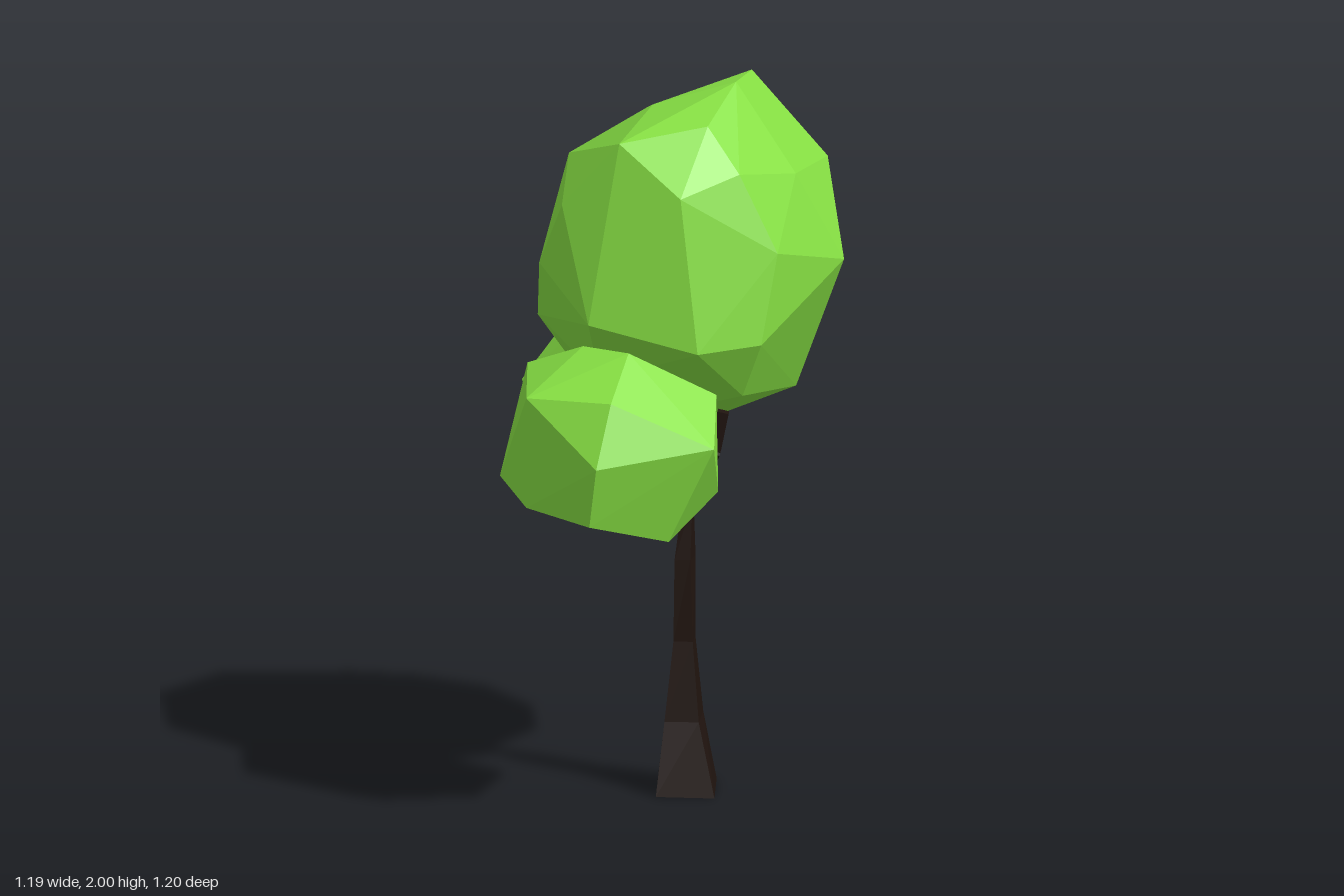
import * as THREE from 'three';
import { ConvexGeometry } from 'three/addons/geometries/ConvexGeometry.js';

const V = (x, y, z) => new THREE.Vector3(x, y, z);
const leaf = new THREE.MeshStandardMaterial({ color: 0x88e244, flatShading: true });
const bark = new THREE.MeshStandardMaterial({ color: 0x20140f, flatShading: true });

// Faceted leaf mass from its corner points
function clump(name, corners) {
  const mesh = new THREE.Mesh(new ConvexGeometry(corners.map(c => V(...c))), leaf);
  mesh.name = name;
  return mesh;
}

// Four-sided tapered limb, slightly skewed in plan;
// each section is [y, centreX, centreZ, radiusX, radiusZ], bottom to top
function limb(name, sections) {
  const n = sections.length - 1, skew = 0.2;
  const geo = new THREE.CylinderGeometry(1, 1, n, 4, n);
  const p = geo.attributes.position;
  for (let i = 0; i < p.count; i++) {
    const [y, cx, cz, rx, rz] = sections[Math.round(p.getY(i) + n / 2)];
    const x = p.getX(i), z = p.getZ(i);
    p.setXYZ(i, cx + (x + skew * z) * rx, y, cz + (z + skew * x) * rz);
  }
  geo.computeVertexNormals();
  const mesh = new THREE.Mesh(geo, bark);
  mesh.name = name;
  return mesh;
}

// Straight four-sided twig between two points
function twig(from, to, r0, r1) {
  const dir = to.clone().sub(from);
  const mesh = new THREE.Mesh(new THREE.CylinderGeometry(r1, r0, dir.length(), 4), bark);
  mesh.position.copy(from).addScaledVector(dir, 0.5);
  mesh.quaternion.setFromUnitVectors(V(0, 1, 0), dir.normalize());
  return mesh;
}

function branch(name, points, r0, r1) {
  const g = new THREE.Group();
  g.name = name;
  const n = points.length - 1;
  for (let i = 0; i < n; i++) {
    const r = t => r0 + (r1 - r0) * t / n;
    g.add(twig(points[i], points[i + 1], r(i), r(i + 1)));
  }
  return g;
}

export function createModel() {
  const tree = new THREE.Group();
  tree.name = 'tree';

  // Flared trunk
  tree.add(limb('trunk', [
    [0, 0.11, -0.035, 0.15, 0.137],
    [0.2, 0.10, -0.035, 0.082, 0.085],
    [0.42, 0.10, -0.037, 0.046, 0.048],
    [0.65, 0.105, -0.035, 0.032, 0.044],
    [0.82, 0.112, -0.04, 0.025, 0.024],
  ]));

  // Three branches from the fork
  const fork = V(0.112, 0.795, -0.04);
  tree.add(branch('rightBranch', [fork, V(-0.06, 0.935, -0.025), V(-0.105, 0.96, -0.02)], 0.026, 0.02));
  tree.add(branch('frontBranch', [fork, V(0.12, 0.87, 0.07), V(0.12, 0.9, 0.13)], 0.026, 0.018));
  tree.add(branch('upperBranch', [fork, V(0.24, 0.98, -0.025), V(0.26, 1.09, -0.04)], 0.028, 0.022));

  // Main crown
  tree.add(clump('mainCrown', [
    // top
    [0, 1.96, -0.37], [0.21, 2, -0.13], [-0.26, 1.83, -0.21], [0.31, 1.92, 0.06], [0.01, 1.92, 0],
    // shoulders
    [0.18, 1.88, 0.27], [0.42, 1.8, 0.04], [0.38, 1.75, 0.22], [0.02, 1.69, 0.34], [0.38, 1.76, -0.2],
    [0.18, 1.73, -0.49], [-0.1, 1.75, -0.49], [-0.25, 1.75, 0.08],
    // middle
    [0.5, 1.58, -0.03], [0.41, 1.5, -0.35], [0.5, 1.33, 0.03], [0.44, 1.32, 0.21], [0.2, 1.39, 0.4],
    [-0.11, 1.5, 0.31], [-0.22, 1.32, 0.22], [-0.31, 1.34, 0.03], [-0.35, 1.37, -0.17],
    [-0.33, 1.42, -0.4], [-0.22, 1.42, -0.55], [-0.06, 1.35, -0.6], [0.16, 1.35, -0.52],
    // underside, lowest towards the back right
    [0.41, 1.17, 0.02], [0.22, 1.11, -0.34], [0.08, 1.2, -0.52], [-0.02, 1.13, -0.45],
    [-0.07, 0.98, -0.3], [-0.09, 1.03, 0.06], [0.1, 1.07, 0.09], [0.2, 1.07, -0.1], [0.1, 1.2, 0.27],
  ]));

  // Clump at the front
  tree.add(clump('frontClump', [
    [-0.09, 1.23, 0.37], [0.12, 1.31, 0.35], [0.3, 1.32, 0.34], [0.17, 1.21, 0.6], [0.41, 1.22, 0.5],
    [0.59, 1.09, 0.28], [0.44, 1.05, 0.58], [-0.01, 0.95, 0.54], [0.17, 0.9, 0.6], [0.4, 0.88, 0.57],
    [0.48, 0.82, 0.35], [0.1, 0.82, 0.38], [-0.08, 1.07, 0.3], [0.45, 1.2, 0.15], [0.4, 0.91, 0.1],
    [0.3, 1.1, 0.08], [0.1, 1.25, 0.19], [0.05, 1.1, 0.12], [0.1, 0.92, 0.1], [0.25, 0.84, 0.2],
  ]));

  // Clump on the right
  tree.add(clump('rightClump', [
    [-0.6, 1.08, -0.19], [-0.43, 1.37, -0.24], [-0.35, 1.37, -0.14], [-0.35, 1.2, -0.45],
    [-0.46, 1.07, 0.07], [-0.28, 0.9, 0.11], [-0.4, 0.85, -0.14], [-0.11, 0.87, -0.1],
    [-0.14, 1.11, 0.07], [-0.04, 0.95, -0.12], [-0.15, 0.89, -0.33],
    [-0.4, 0.89, -0.32], [-0.14, 1.13, -0.43], [-0.03, 1.1, -0.25], [-0.24, 1.3, -0.03],
    [-0.15, 1.28, -0.3],
  ]));

  return tree;
}
